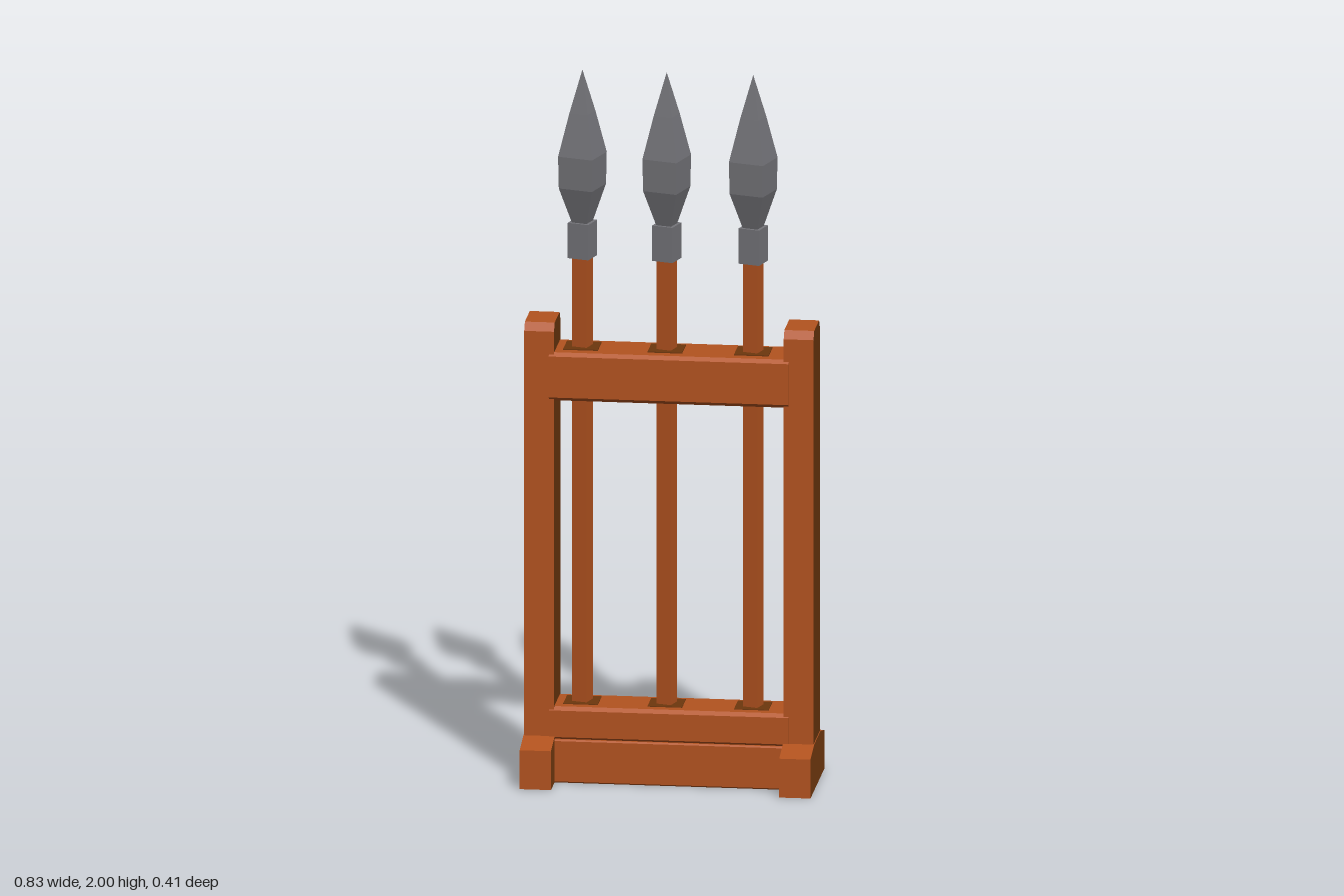
import * as THREE from 'three';

const mat = (name, color, extra = {}) => {
  const m = new THREE.MeshStandardMaterial({ color, ...extra });
  m.name = name;
  return m;
};

export function createModel() {
  const wood = mat('wood', 0xb3531f);
  const darkWood = mat('dark wood', 0x6e370d);
  const footWood = mat('foot wood', 0x7c3e11);
  const iron = mat('iron', 0x75757a, { flatShading: true });

  const model = new THREE.Group();
  model.name = 'spearRack';
  const rack = new THREE.Group();
  rack.name = 'rack';
  rack.rotation.y = 0.13; // the whole rack stands slightly turned
  model.add(rack);

  const add = (parent, name, geometry, material, x = 0, y = 0, z = 0) => {
    const mesh = new THREE.Mesh(geometry, material);
    mesh.name = name;
    mesh.position.set(x, y, z);
    parent.add(mesh);
    return mesh;
  };

  // A z-y profile extruded along x and centred; groups: end caps, then sides
  const beam = (points, length) => {
    const shape = new THREE.Shape(points.map(([z, y]) => new THREE.Vector2(z, y)));
    const g = new THREE.ExtrudeGeometry(shape, { depth: length, bevelEnabled: false });
    return g.translate(0, 0, -length / 2).rotateY(Math.PI / 2);
  };

  // Feet and posts, mirrored; their broad side faces are darker
  const foot = beam([[-0.155, 0], [0.155, 0], [0.155, 0.11], [0.07, 0.13], [-0.07, 0.13], [-0.155, 0.11]], 0.086);
  const post = beam([[-0.071, 0.1], [0.071, 0.1], [0.071, 1.275], [0.055, 1.297], [-0.055, 1.297], [-0.071, 1.275]], 0.082);
  for (const s of [-1, 1]) {
    const side = s > 0 ? 'left' : 'right';
    add(rack, side + 'Foot', foot, [footWood, wood], s * 0.357);
    add(rack, side + 'Post', post, [darkWood, wood], s * 0.357);
  }

  // Horizontal rails with chamfered edges
  const rail = (y0, y1, d, c) => beam([
    [-d + c, y0], [d - c, y0], [d, y0 + c], [d, y1 - c],
    [d - c, y1], [-d + c, y1], [-d, y1 - c], [-d, y0 + c],
  ], 0.66);
  add(rack, 'baseBeam', rail(0, 0.122, 0.078, 0.004), wood);
  add(rack, 'lowerRail', rail(0.118, 0.213, 0.073, 0.01), wood);
  add(rack, 'upperRail', rail(1.08, 1.216, 0.076, 0.01), wood);

  // Four-sided spear parts
  const square = (w, h) => new THREE.BoxGeometry(w, h, w);
  const headProfile = [[0, 1.56], [0.022, 1.57], [0.049, 1.67], [0.0505, 1.76], [0.027, 1.88], [0, 2]]
    .map(([w, y]) => new THREE.Vector2(w * Math.SQRT2, y));
  const head = new THREE.LatheGeometry(headProfile, 4, Math.PI / 4);
  const slot = new THREE.BoxGeometry(0.095, 0.004, 0.085);

  [-0.247, -0.015, 0.223].forEach((x, i) => {
    const spear = new THREE.Group();
    spear.name = 'spear' + (i + 1);
    spear.position.set(x, 0, -0.004);
    spear.rotation.y = -0.29;
    rack.add(spear);
    add(spear, 'shaft', square(0.043, 1.3), wood, 0, 0.84);
    add(spear, 'socket', square(0.061, 0.1), iron, 0, 1.52);
    add(spear, 'spearhead', head, iron);
    // Dark slots where the shaft meets the rails
    for (const y of [0.213, 1.079, 1.217]) add(rack, 'slot', slot, darkWood, x, y, -0.004);
  });

  return model;
}
